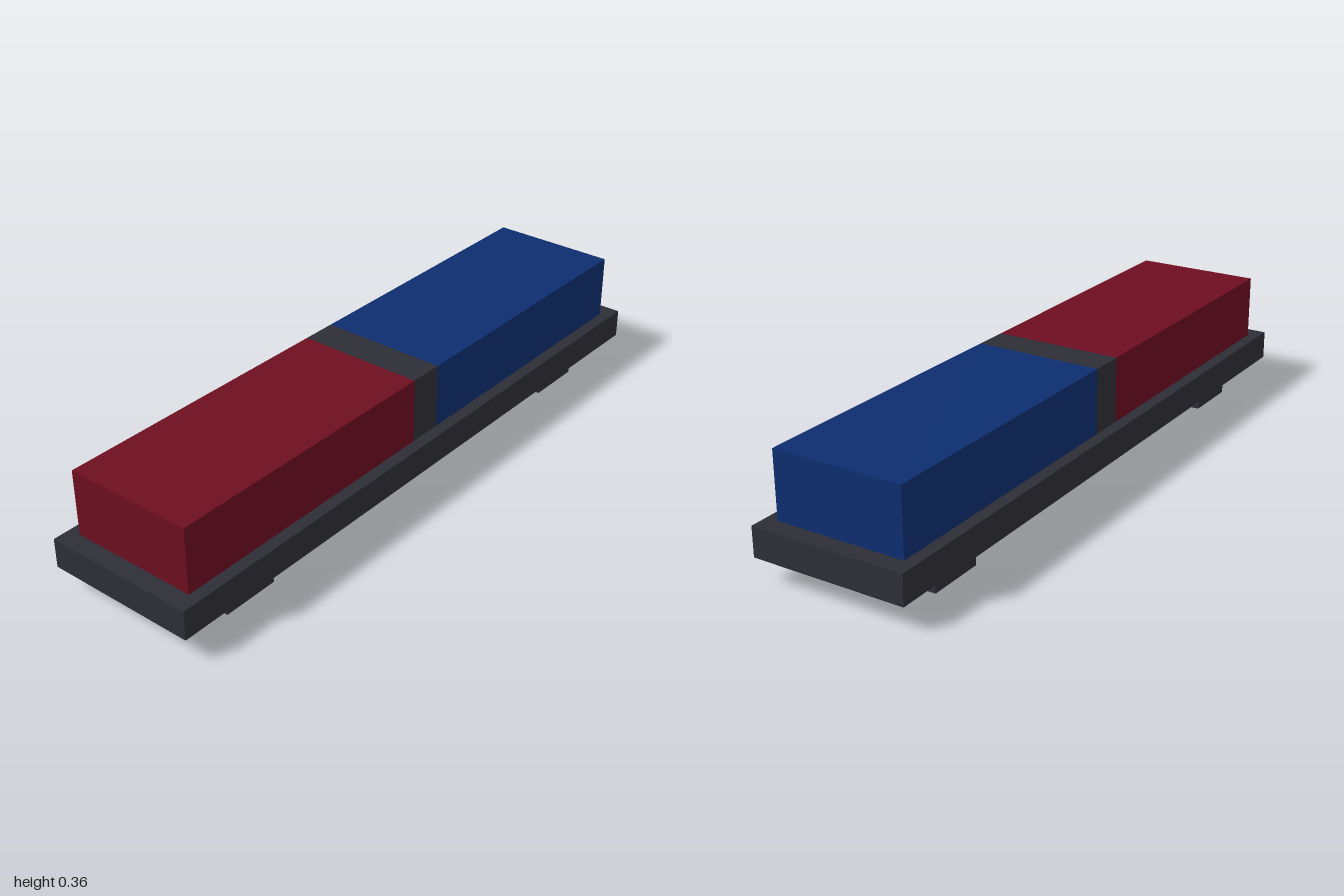
import * as THREE from 'three';

export function createModel() {
  const model = new THREE.Group();
  model.name = 'lightBar';

  const material = (name, color) => {
    const m = new THREE.MeshStandardMaterial({ color });
    m.name = name;
    return m;
  };
  const charcoal = material('charcoal', 0x2e2e37);
  const red = material('darkRed', 0x6d0e21);
  const blue = material('darkBlue', 0x0d2e70);

  // Box spanning x0..x1 and y0..y1, centred on z
  const box = (name, mat, x0, x1, y0, y1, depth) => {
    const mesh = new THREE.Mesh(new THREE.BoxGeometry(x1 - x0, y1 - y0, depth), mat);
    mesh.position.set((x0 + x1) / 2, (y0 + y1) / 2, 0);
    mesh.name = name;
    model.add(mesh);
  };

  const baseBottom = 0.073, baseTop = 0.161, top = 0.358;

  // Base plate and mounting feet
  box('basePlate', charcoal, -1, 1, baseBottom, baseTop, 0.466);
  box('rightFoot', charcoal, -0.803, -0.627, 0, baseBottom, 0.357);
  box('leftFoot', charcoal, 0.627, 0.803, 0, baseBottom, 0.357);

  // Coloured lamps either side of the divider
  box('rightLamp', red, -0.945, -0.053, baseTop, top, 0.393);
  box('centreDivider', charcoal, -0.053, 0.053, baseTop, top, 0.393);
  box('leftLamp', blue, 0.053, 0.945, baseTop, top, 0.393);

  return model;
}
